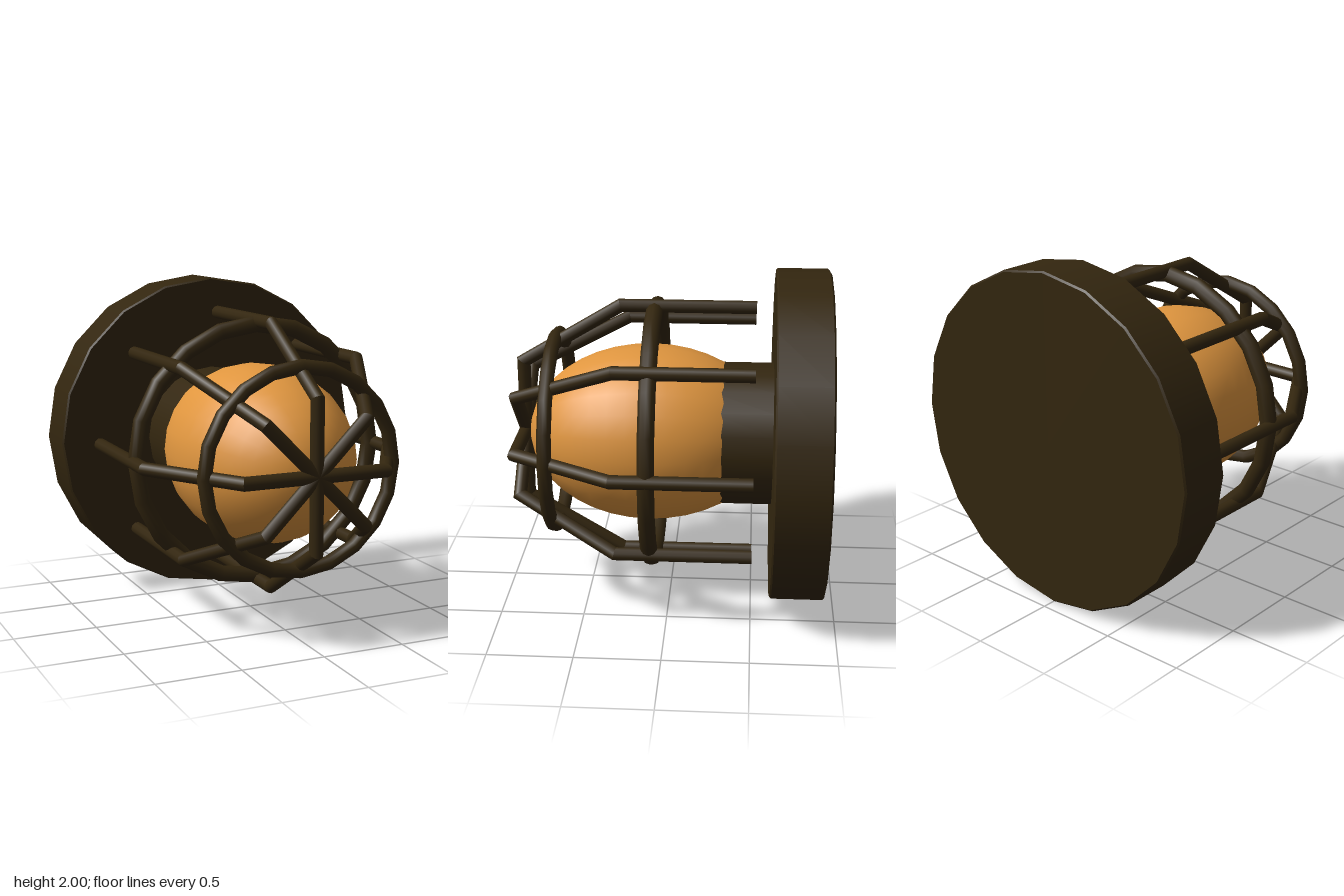
import * as THREE from 'three';

const bronze = new THREE.MeshStandardMaterial({ color: 0x33260f });
bronze.name = 'dark bronze';
const amber = new THREE.MeshStandardMaterial({ color: 0xe0963f });
amber.name = 'amber glass';

const SIDES = 20;

function add(parent, name, geometry, material) {
  const mesh = new THREE.Mesh(geometry, material);
  mesh.name = name;
  parent.add(mesh);
  return mesh;
}

// Cylinder running along z, from z0 (radius r0) to z1 (radius r1)
function discAlongZ(r0, r1, z0, z1, open = false) {
  return new THREE.CylinderGeometry(r1, r0, z1 - z0, SIDES, 1, open)
    .rotateX(Math.PI / 2)
    .translate(0, 0, (z0 + z1) / 2);
}

// Round rod with mitred bends, following [x, z] points in the plane y = 0
function mitredRod(path, radius, sides = 10) {
  const pts = path.map(([x, z]) => new THREE.Vector2(x, z));
  const dirs = pts.slice(1).map((p, i) => p.clone().sub(pts[i]).normalize());
  const position = [], normal = [], index = [];
  const ring = (i, dir) => {
    const a = dirs[Math.max(i - 1, 0)], b = dirs[Math.min(i, dirs.length - 1)];
    const t = a.clone().add(b).normalize();
    const stretch = radius / t.dot(a);
    for (let k = 0; k <= sides; k++) {
      const u = (k / sides) * Math.PI * 2, c = Math.cos(u), s = Math.sin(u);
      position.push(pts[i].x + t.y * c * stretch, s * radius, pts[i].y - t.x * c * stretch);
      normal.push(dir.y * c, s, -dir.x * c);
    }
  };
  dirs.forEach((dir, i) => {
    const base = position.length / 3;
    ring(i, dir);
    ring(i + 1, dir);
    for (let k = 0; k < sides; k++) {
      const a = base + k, b = a + sides + 1;
      index.push(a, a + 1, b, a + 1, b + 1, b);
    }
  });
  // Flat cap on the free end
  const end = dirs[dirs.length - 1], last = position.length / 3;
  ring(pts.length - 1, end);
  for (let k = 0; k <= sides; k++) {
    normal.splice((last + k) * 3, 3, end.x, 0, end.y);
    if (k > 0 && k < sides - 1) index.push(last, last + k, last + k + 1);
  }
  const g = new THREE.BufferGeometry();
  g.setAttribute('position', new THREE.Float32BufferAttribute(position, 3));
  g.setAttribute('normal', new THREE.Float32BufferAttribute(normal, 3));
  g.setIndex(index);
  return g;
}

export function createModel() {
  const model = new THREE.Group();
  model.name = 'cagedWallLamp';

  const lamp = new THREE.Group();
  lamp.name = 'lamp';
  lamp.position.y = 1;
  model.add(lamp);

  // Wall plate with a fine bevel on both rims
  const plate = new THREE.Group();
  plate.name = 'wallPlate';
  lamp.add(plate);
  add(plate, 'plateBody', discAlongZ(1, 1, -0.92, -0.62, true), bronze);
  add(plate, 'plateBack', discAlongZ(0.99, 1, -0.93, -0.92), bronze);
  add(plate, 'plateFront', discAlongZ(1, 0.99, -0.62, -0.61), bronze);

  // Socket neck, running into the glass
  add(lamp, 'neck', discAlongZ(0.43, 0.43, -0.62, -0.25), bronze);

  // Long oval glass globe
  const globe = new THREE.SphereGeometry(1, 24, 20)
    .rotateX(Math.PI / 2)
    .scale(0.535, 0.535, 0.735)
    .translate(0, 0, 0.125);
  add(lamp, 'glassGlobe', globe, amber);

  // Cage: eight bent rods meeting at the front
  const cage = new THREE.Group();
  cage.name = 'cage';
  lamp.add(cage);
  const rod = mitredRod([[0, 0.89], [0.435, 0.89], [0.79, 0.3], [0.79, -0.5]], 0.04);
  for (let i = 0; i < 8; i++) {
    add(cage, 'cageRod', rod, bronze).rotation.z = (i * Math.PI) / 4;
  }

  // Two hoops around the rods
  for (const [name, r, tube, z] of [['rearHoop', 0.77, 0.05, 0.1], ['frontHoop', 0.588, 0.042, 0.695]]) {
    add(cage, name, new THREE.TorusGeometry(r, tube, 10, SIDES), bronze).position.z = z;
  }

  return model;
}
